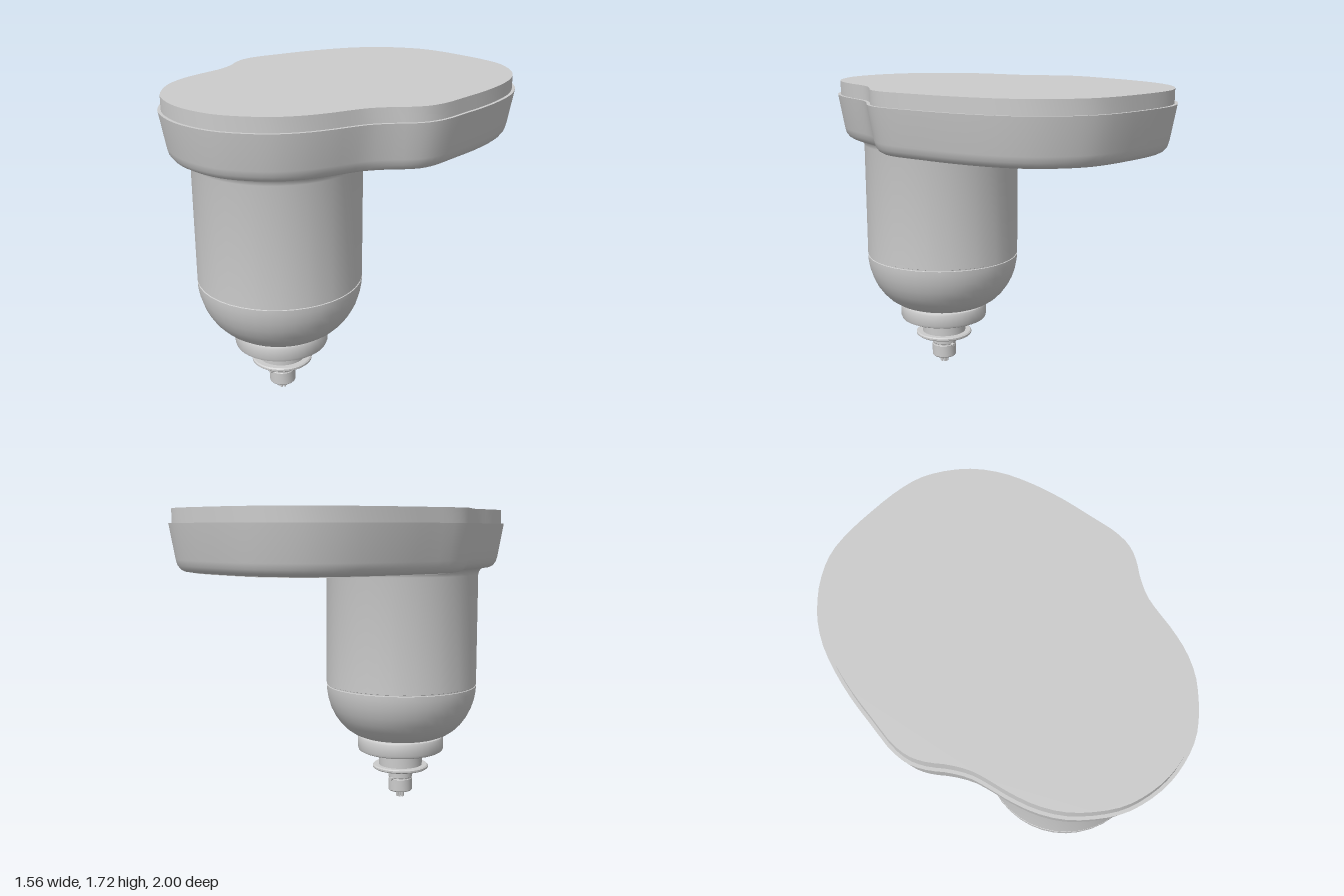
import * as THREE from 'three';
import { toCreasedNormals } from 'three/addons/utils/BufferGeometryUtils.js';

const V2 = (x, y) => new THREE.Vector2(x, y);
const BODY_Z = 0.41;
const material = new THREE.MeshStandardMaterial({ color: 0xcccccc });

function addMesh(parent, name, geometry, x = 0, y = 0, z = 0) {
  const mesh = new THREE.Mesh(geometry, material);
  mesh.name = name;
  mesh.position.set(x, y, z);
  parent.add(mesh);
  return mesh;
}

const lathe = (profile, segments = 40) =>
  toCreasedNormals(new THREE.LatheGeometry(profile.map(([r, y]) => V2(r, y)), segments), 0.6);

// Half outline of the plate in (x, z), from back to front
const half = [
  [0, -1], [0.16, -0.995], [0.3, -0.97], [0.42, -0.91], [0.54, -0.81], [0.63, -0.68],
  [0.69, -0.53], [0.735, -0.35], [0.76, -0.18], [0.78, -0.02], [0.768, 0.08], [0.73, 0.16],
  [0.67, 0.24], [0.62, 0.33], [0.595, 0.42], [0.573, 0.52], [0.53, 0.65], [0.46, 0.77],
  [0.36, 0.87], [0.25, 0.945], [0.13, 0.985], [0, 1],
];
const mirrored = half.slice(1, -1).reverse().map(([x, z]) => [-x, z]);
const curve = new THREE.CatmullRomCurve3(
  [...half, ...mirrored].map(([x, z]) => new THREE.Vector3(x, 0, z)), true);
const COUNT = 96;

// Outline moved inwards by a distance
function outline(inset) {
  return Array.from({ length: COUNT }, (_, i) => {
    const p = curve.getPoint(i / COUNT);
    const t = curve.getTangent(i / COUNT);
    return V2(p.x - t.z * inset, p.z + t.x * inset);
  });
}

// Skin through outlines given as [inset, y], bottom to top
function loft(profile) {
  const positions = [];
  const index = [];
  profile.forEach(([inset, y], j) => {
    outline(inset).forEach((p, i) => {
      positions.push(p.x, y, p.y);
      if (j === profile.length - 1) return;
      const a = j * COUNT + i;
      const b = j * COUNT + (i + 1) % COUNT;
      index.push(a, a + COUNT, b, b, a + COUNT, b + COUNT);
    });
  });
  const geometry = new THREE.BufferGeometry();
  geometry.setAttribute('position', new THREE.Float32BufferAttribute(positions, 3));
  geometry.setIndex(index);
  return toCreasedNormals(geometry, 0.6);
}

// Flat slab from an (x, z) shape, hanging down from its origin
const slab = (shape, depth) => toCreasedNormals(
  new THREE.ExtrudeGeometry(shape, { depth, bevelEnabled: false, curveSegments: 12 })
    .rotateX(Math.PI / 2), 0.6);

// Service panel: back part of the outline with an arc cut around the body
function panelPoints() {
  const back = outline(0.12);
  const right = back.slice(0, COUNT / 2).filter((p) => p.y < 0.2);
  const left = back.slice(COUNT / 2).filter((p) => p.y < 0.2);
  const arc = Array.from({ length: 25 }, (_, i) => {
    const a = -0.35 - (Math.PI - 0.7) * i / 24;
    return V2(0.49 * Math.cos(a), BODY_Z + 0.49 * Math.sin(a));
  });
  return [...right, ...arc, ...left];
}

export function createModel() {
  const model = new THREE.Group();
  model.name = 'mountedUnit';

  // Head plate with tapered wall, rounded lower edge and stepped cap
  const plate = new THREE.Group();
  plate.name = 'headPlate';
  model.add(plate);
  addMesh(plate, 'plateWall', loft([
    [0.1, 1.39], [0.075, 1.394], [0.055, 1.405], [0.04, 1.425], [0.032, 1.455], [0, 1.64], [0.025, 1.64],
  ]));
  addMesh(plate, 'plateCap', slab(new THREE.Shape(outline(0.017)), 0.08), 0, 1.715, 0);

  const underside = new THREE.Shape(outline(0.1));
  underside.holes.push(new THREE.Path(panelPoints()));
  addMesh(plate, 'plateUnderside', new THREE.ShapeGeometry(underside).rotateX(Math.PI / 2), 0, 1.39, 0);

  // Panel with four recessed screws
  const panel = new THREE.Shape(panelPoints());
  const screws = [[0.365, -0.63], [-0.365, -0.63], [0.5, 0.07], [-0.5, 0.07]];
  for (const [x, z] of screws) {
    panel.holes.push(new THREE.Path().absarc(x, z, 0.06, 0, Math.PI * 2, true));
    addMesh(plate, 'screw', lathe([
      [0, 1.45], [0.02, 1.45], [0.02, 1.425], [0.04, 1.425], [0.045, 1.44], [0.062, 1.44],
    ], 20), x, 0, z);
  }
  addMesh(plate, 'servicePanel', slab(panel, 0.1), 0, 1.486, 0);

  // Cylindrical body with domed end and flared top
  addMesh(model, 'body', lathe([
    [0.15, 0.385], [0.245, 0.387], [0.285, 0.403], [0.325, 0.43], [0.362, 0.467], [0.393, 0.51],
    [0.418, 0.56], [0.435, 0.613], [0.444, 0.665], [0.445, 0.694], [0.44, 0.696], [0.44, 0.702],
    [0.445, 0.704], [0.445, 1.35], [0.449, 1.367], [0.46, 1.382], [0.482, 1.391],
  ]), 0, 0, BODY_Z);

  // Collar with a recessed underside
  addMesh(model, 'collar', lathe([
    [0.12, 0.315], [0.195, 0.315], [0.205, 0.29], [0.238, 0.29], [0.252, 0.297], [0.257, 0.31],
    [0.257, 0.37], [0.252, 0.381], [0.24, 0.386], [0.15, 0.386],
  ]), 0, 0, BODY_Z);

  // Stepped neck with a thin flange
  addMesh(model, 'neck', lathe([
    [0.04, 0.163], [0.11, 0.163], [0.11, 0.18], [0.16, 0.18], [0.167, 0.186], [0.167, 0.196],
    [0.16, 0.202], [0.13, 0.202], [0.13, 0.27], [0.165, 0.27], [0.165, 0.288], [0.13, 0.288], [0.13, 0.32],
  ]), 0, 0, BODY_Z);

  // Hollow connector with bayonet lugs and contact pins
  const connector = new THREE.Group();
  connector.name = 'connector';
  connector.position.z = BODY_Z;
  model.add(connector);
  addMesh(connector, 'connectorSleeve', lathe([
    [0, 0.13], [0.055, 0.13], [0.055, 0.04], [0.067, 0.04], [0.072, 0.046],
    [0.072, 0.115], [0.069, 0.118], [0.069, 0.124], [0.072, 0.127], [0.072, 0.17],
  ], 28));
  for (const side of [-1, 1]) {
    addMesh(connector, 'bayonetLug',
      new THREE.CylinderGeometry(0.01, 0.01, 0.03, 12).rotateX(Math.PI / 2), 0, 0.121, side * 0.072);
  }
  for (let i = 0; i < 6; i++) {
    const a = i * Math.PI / 3;
    addMesh(connector, 'contactPin', new THREE.CylinderGeometry(0.007, 0.007, 0.13, 8),
      0.018 * Math.cos(a), 0.065, 0.018 * Math.sin(a));
  }
  return model;
}
